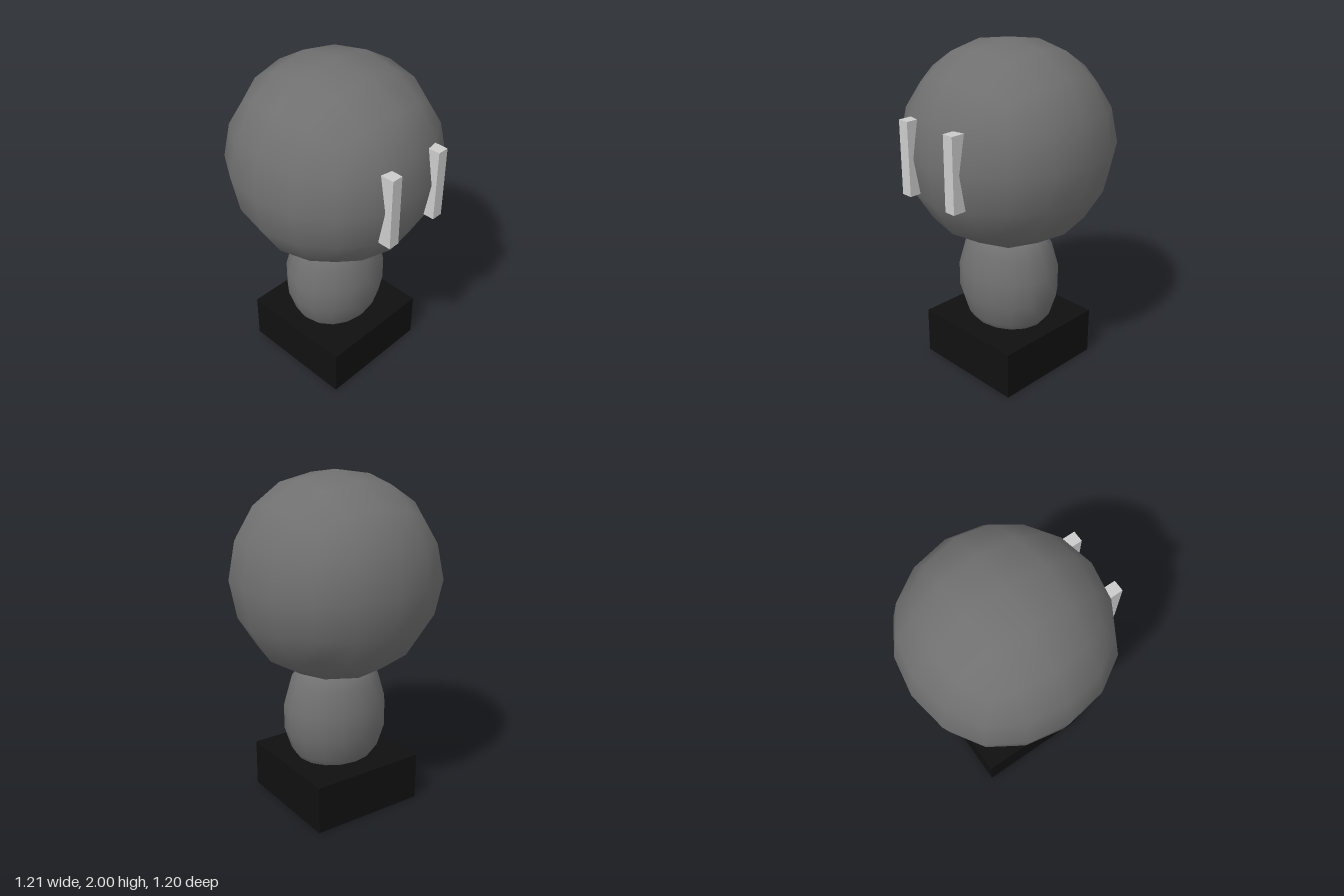
import * as THREE from 'three';
import { mergeVertices } from 'three/addons/utils/BufferGeometryUtils.js';

const material = (color) => new THREE.MeshStandardMaterial({ color });

// Twice-subdivided cube: each coordinate depends on its own grid step
// and on the sum of squares of the other two.
const OUTER = { 0: 0.6, 0.25: 0.56, 1: 0.439, 0.5: 0.522, 1.25: 0.409, 2: 0.348 };
const MIDDLE = { 1: 0.239, 1.25: 0.223, 2: 0.206 };

function roundedCube() {
  const box = new THREE.BoxGeometry(2, 2, 2, 4, 4, 4);
  box.deleteAttribute('normal');
  box.deleteAttribute('uv');
  const geometry = mergeVertices(box);
  const pos = geometry.attributes.position;
  const place = (v, a, b) => {
    if (v === 0) return 0;
    const table = Math.abs(v) === 1 ? OUTER : MIDDLE;
    return Math.sign(v) * table[a * a + b * b];
  };
  for (let i = 0; i < pos.count; i++) {
    const [x, y, z] = [pos.getX(i), pos.getY(i), pos.getZ(i)].map((v) => Math.round(v * 2) / 2);
    pos.setXYZ(i, place(x, y, z), place(y, x, z), place(z, x, y));
  }
  geometry.computeVertexNormals();
  return geometry;
}

export function createModel() {
  const group = new THREE.Group();
  const add = (name, geometry, mat, x, y, z) => {
    const mesh = new THREE.Mesh(geometry, mat);
    mesh.name = name;
    mesh.position.set(x, y, z);
    group.add(mesh);
    return mesh;
  };
  const grey = material(0x707070);

  // Large round head
  add('head', roundedCube(), grey, -0.005, 1.4, 0);

  // Egg-shaped body, slightly deeper than wide
  const profile = [
    [0, 0.2], [0.12, 0.215], [0.2, 0.265], [0.245, 0.335], [0.283, 0.47],
    [0.283, 0.62], [0.245, 0.77], [0.2, 0.84], [0.12, 0.89], [0, 0.91],
  ].map(([r, y]) => new THREE.Vector2(r, y));
  const body = add('body', new THREE.LatheGeometry(profile, 16), grey, -0.005, 0, 0);
  body.scale.z = 1.13;

  // Dark square base
  add('base', new THREE.BoxGeometry(0.715, 0.29, 0.715), material(0x101010), -0.005, 0.145, 0);

  // Pair of upright eye bars on the left side of the head
  const pale = material(0xcccccc);
  for (const side of [1, -1]) {
    add(side > 0 ? 'frontEye' : 'backEye', new THREE.BoxGeometry(0.1, 0.425, 0.068),
      pale, 0.551, 1.4025, side * 0.179);
  }
  return group;
}
